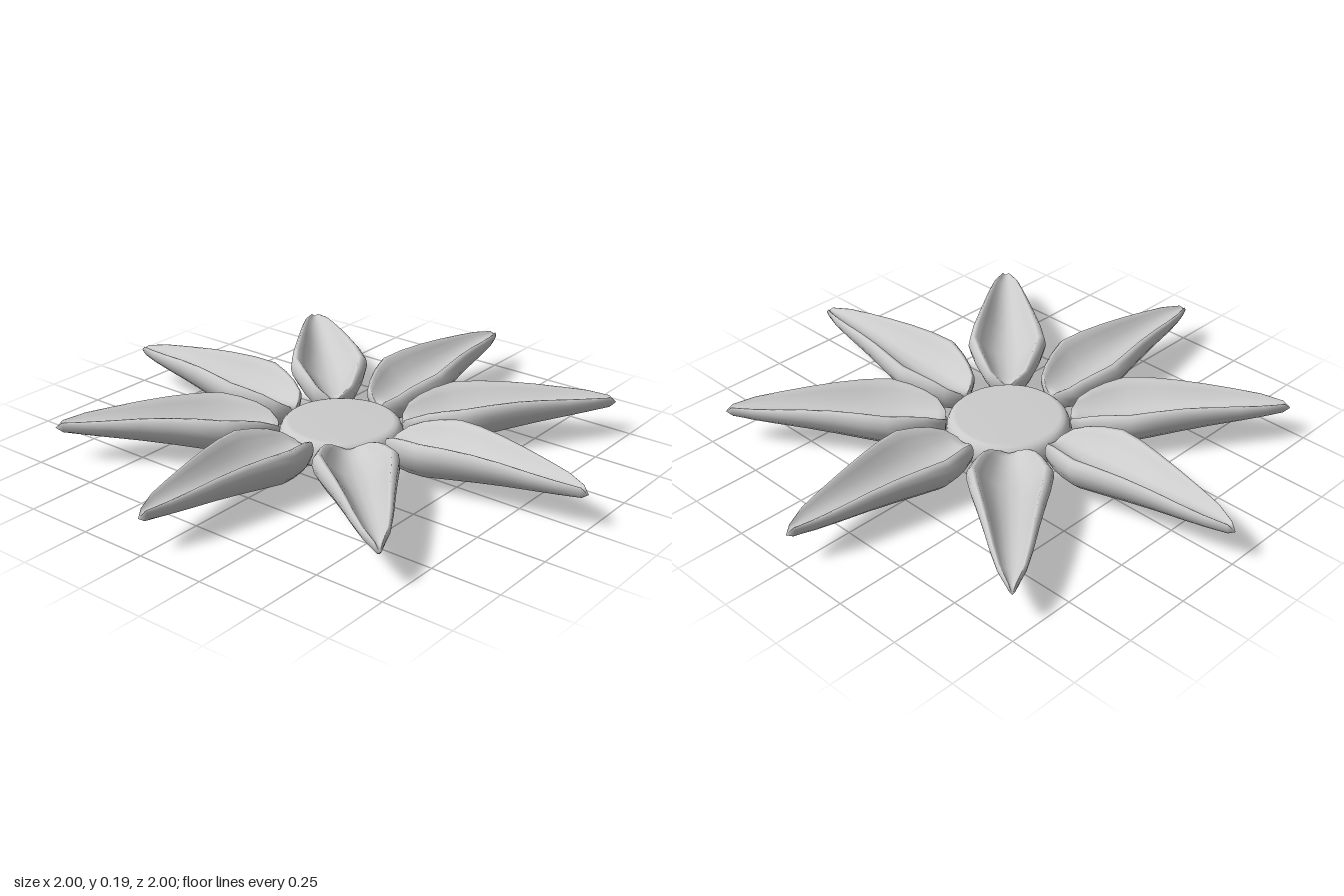
import * as THREE from 'three';
import { mergeVertices } from 'three/addons/utils/BufferGeometryUtils.js';

const material = new THREE.MeshStandardMaterial({ color: 0xcccccc });

// Petal stations: distance from centre, half width, underside, lip and valley heights
const stations = [
  [0.22, 0, 0.08, 0.08, 0.08],
  [0.224, 0.035, 0.05, 0.11, 0.1],
  [0.25, 0.078, 0.025, 0.135, 0.1],
  [0.295, 0.102, 0.012, 0.157, 0.092],
  [0.35, 0.125, 0.013, 0.172, 0.09],
  [0.42, 0.146, 0.022, 0.184, 0.092],
  [0.51, 0.132, 0.039, 0.19, 0.1],
  [0.61, 0.11, 0.057, 0.19, 0.112],
  [0.71, 0.089, 0.074, 0.184, 0.124],
  [0.81, 0.069, 0.089, 0.174, 0.135],
  [0.9, 0.047, 0.102, 0.165, 0.142],
  [0.975, 0.014, 0.112, 0.153, 0.145],
  [1, 0, 0.13, 0.13, 0.13],
];

// Half of the cupped section: width fraction, height fraction, and whether the height is
// measured from the underside (0) or from the valley (1) up to the lip
const halfSection = [
  [0, 0, 0], [0.3, 0.04, 0], [0.58, 0.15, 0], [0.8, 0.33, 0], [0.95, 0.56, 0], [1, 0.74, 0],
  [0.97, 0.9, 0], [0.88, 0.99, 0], [0.79, 0.96, 1], [0.68, 0.72, 1], [0.5, 0.36, 1],
  [0.27, 0.1, 1], [0, 0, 1],
];
const section = [
  ...halfSection,
  ...halfSection.slice(1, -1).reverse().map(([u, t, inner]) => [-u, t, inner]),
];

function petalGeometry() {
  const positions = [];
  const indices = [];
  const n = section.length;
  stations.forEach(([r, w, under, lip, valley], i) => {
    section.forEach(([u, t, inner], j) => {
      positions.push(u * w, THREE.MathUtils.lerp(inner ? valley : under, lip, t), r);
      if (i === stations.length - 1) return;
      const a = i * n + j;
      const b = i * n + (j + 1) % n;
      if (i > 0) indices.push(a, b, b + n);
      if (i < stations.length - 2) indices.push(a, b + n, a + n);
      else indices.push(a, b + n, a + n);
    });
  });
  let geometry = new THREE.BufferGeometry();
  geometry.setAttribute('position', new THREE.Float32BufferAttribute(positions, 3));
  geometry.setIndex(indices);
  geometry = mergeVertices(geometry, 1e-5);
  geometry.computeVertexNormals();
  return geometry;
}

// Round centre with a softly rolled rim
function centreGeometry() {
  const profile = [
    [0, 0], [0.17, 0], [0.19, 0.004], [0.205, 0.014], [0.216, 0.03], [0.222, 0.055],
    [0.219, 0.08], [0.211, 0.097], [0.2, 0.107], [0.185, 0.111], [0, 0.111],
  ].map(([x, y]) => new THREE.Vector2(x, y));
  return new THREE.LatheGeometry(profile, 48);
}

export function createModel() {
  const flower = new THREE.Group();
  flower.name = 'flower';

  const centre = new THREE.Mesh(centreGeometry(), material);
  centre.name = 'flowerCentre';
  flower.add(centre);

  // Eight identical petals around the centre
  const geometry = petalGeometry();
  for (let k = 0; k < 8; k++) {
    const petal = new THREE.Mesh(geometry, material);
    petal.name = `petal${k + 1}`;
    petal.rotation.y = (k * Math.PI) / 4;
    flower.add(petal);
  }
  return flower;
}
